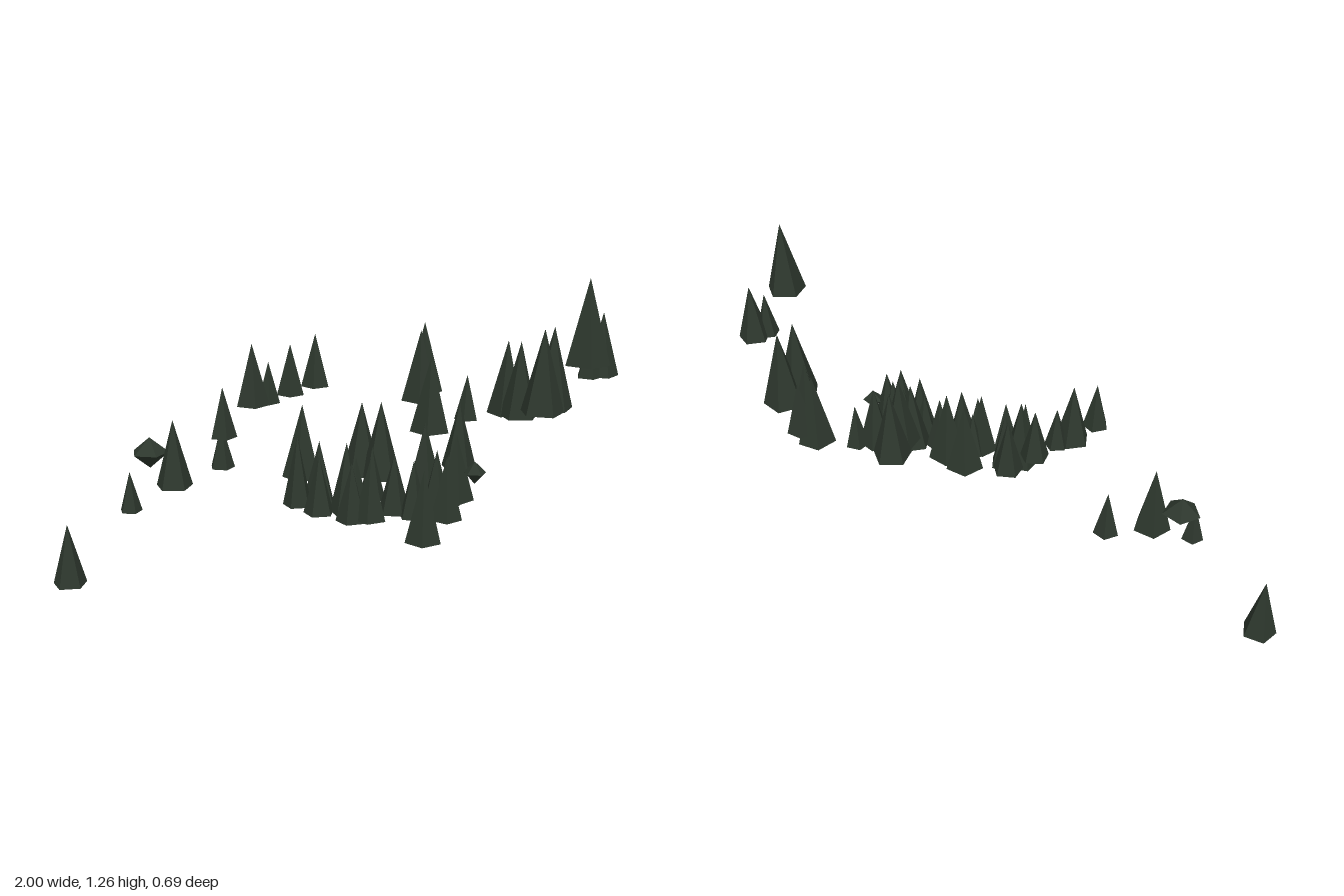
import * as THREE from 'three';

// Each tree: [x, z, base height, tip height, radius]
const leftSlope = [
  [-0.94, 0.27, 0, 0.235, 0.065], [-0.53, 0.165, 0.415, 0.66, 0.068],
  [-0.65, 0.268, 0.335, 0.48, 0.041], [-0.42, 0.015, 0.46, 0.625, 0.046],
];
const backLeftRidge = [
  [-0.24, 0.298, 0.67, 0.84, 0.047], [-0.24, 0.1, 0.735, 0.95, 0.06],
  [-0.205, 0.048, 0.735, 0.88, 0.041], [-0.175, -0.057, 0.745, 0.925, 0.05],
  [-0.135, -0.172, 0.755, 0.945, 0.052],
];
const centreGrove = [
  [-0.015, 0.158, 0.525, 0.775, 0.069], [0.07, 0.2, 0.455, 0.67, 0.057],
  [0.02, 0.26, 0.46, 0.7, 0.05], [0.15, 0.04, 0.525, 0.775, 0.069],
  [0.23, 0.06, 0.53, 0.79, 0.07], [0.47, -0.04, 0.57, 0.795, 0.06],
  [0.46, 0.03, 0.455, 0.63, 0.046], [0.405, 0.1, 0.5, 0.75, 0.068],
  [0.53, 0.14, 0.52, 0.74, 0.06], [0.54, 0.25, 0.49, 0.69, 0.054],
  [0.48, 0.285, 0.415, 0.65, 0.06], [0.29, 0.27, 0.455, 0.66, 0.055],
  [0.23, 0.285, 0.445, 0.64, 0.052], [0.115, 0.29, 0.455, 0.65, 0.052],
  [0.19, 0.24, 0.455, 0.69, 0.057], [0.24, 0.15, 0.48, 0.66, 0.046],
  [0.335, 0.185, 0.46, 0.66, 0.054], [0.41, 0.2, 0.46, 0.65, 0.048],
  [0.47, 0.155, 0.48, 0.68, 0.052], [0.205, 0.2, 0.46, 0.63, 0.045],
];
const backRightRidge = [
  [0.24, -0.285, 0.755, 1.0, 0.067], [0.265, -0.19, 0.745, 0.99, 0.067],
  [0.335, -0.115, 0.66, 0.92, 0.07], [0.43, -0.213, 0.69, 0.845, 0.042],
  [0.55, -0.28, 0.71, 0.965, 0.067], [0.59, -0.305, 0.75, 0.94, 0.052],
  [0.61, -0.235, 0.715, 0.975, 0.067], [0.73, -0.21, 0.765, 1.04, 0.073],
  [0.72, -0.135, 0.765, 1.045, 0.075],
];
const farRight = [
  [0.915, -0.105, 0.92, 1.12, 0.056], [0.89, -0.06, 0.92, 1.075, 0.041],
  [0.925, 0.113, 1.0, 1.26, 0.071],
];

export function createModel() {
  const model = new THREE.Group();
  model.name = 'hillsideForest';
  const foliage = new THREE.MeshStandardMaterial({ color: 0x2d372d, flatShading: true });
  foliage.name = 'dark foliage green';

  // Five-sided cone trees, each turned a little differently
  const cone = new THREE.ConeGeometry(1, 1, 5).translate(0, 0.5, 0);
  let count = 0;
  const addGrove = (name, trees) => {
    const grove = new THREE.Group();
    grove.name = name;
    for (const [x, z, base, tip, radius] of trees) {
      const tree = new THREE.Mesh(cone, foliage);
      tree.name = 'coniferTree';
      tree.position.set(x, base, z);
      tree.scale.set(radius, tip - base, radius);
      tree.rotation.y = count++ * 2.4;
      grove.add(tree);
    }
    model.add(grove);
  };
  addGrove('leftSlopeTrees', leftSlope);
  addGrove('backLeftRidgeTrees', backLeftRidge);
  addGrove('centreGroveTrees', centreGrove);
  addGrove('backRightRidgeTrees', backRightRidge);
  addGrove('farRightTrees', farRight);

  // Two faceted bushes: five-sided double pyramids
  const bushShape = new THREE.SphereGeometry(1, 5, 2);
  for (const [x, y, z, radius, halfHeight] of [
    [-0.635, 0.525, 0.16, 0.069, 0.057], [0.59, 0.615, 0.13, 0.037, 0.037],
  ]) {
    const bush = new THREE.Mesh(bushShape, foliage);
    bush.name = 'bush';
    bush.position.set(x, y, z);
    bush.scale.set(radius, halfHeight, radius);
    model.add(bush);
  }
  return model;
}
